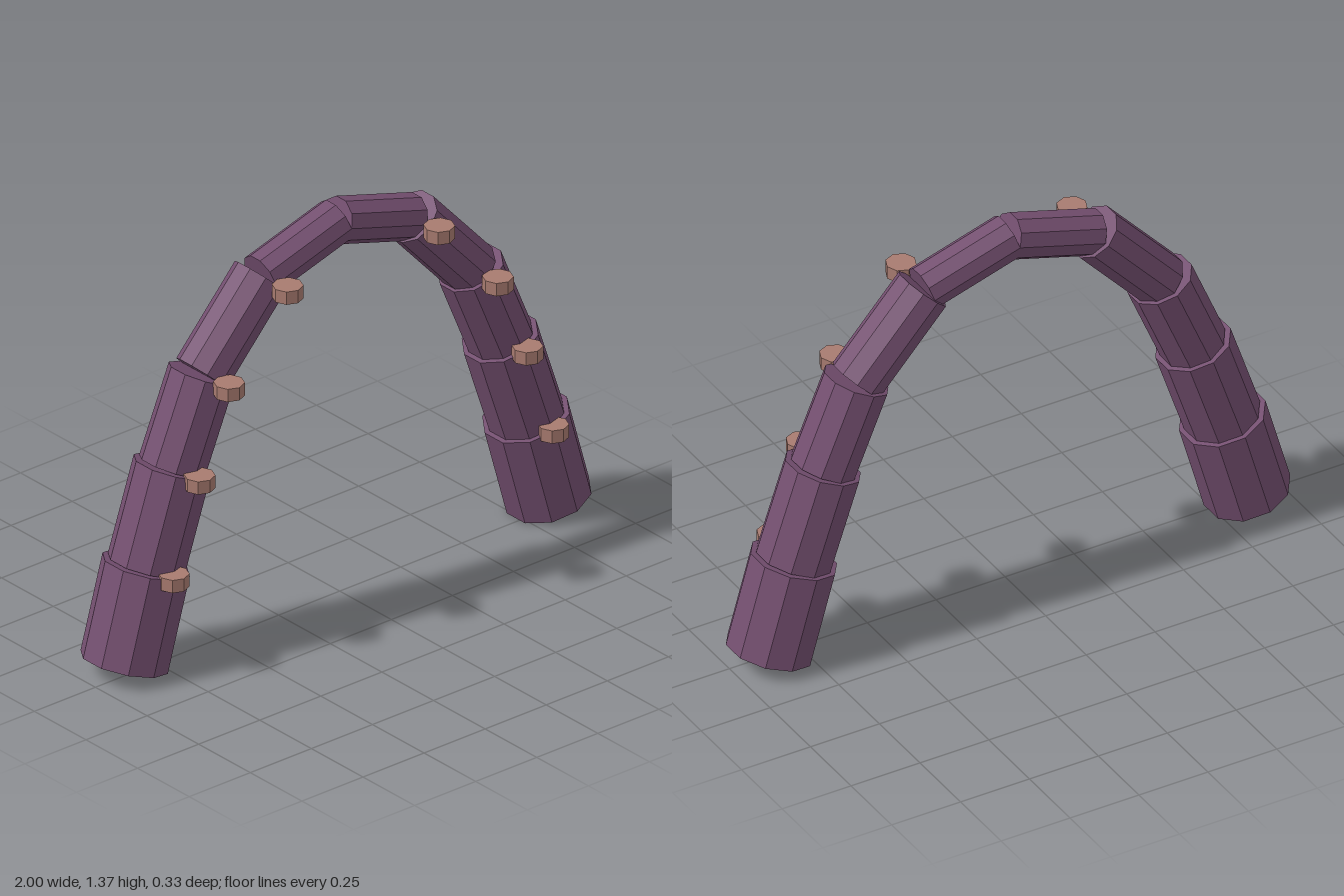
import * as THREE from 'three';

export function createModel() {
  const model = new THREE.Group();
  model.name = 'tentacleArch';

  const skin = new THREE.MeshStandardMaterial({ color: 0x744f70 });
  skin.name = 'purpleSkin';
  skin.flatShading = true;
  const sucker = new THREE.MeshStandardMaterial({ color: 0xa87b70 });
  sucker.name = 'pinkSucker';
  sucker.flatShading = true;

  const up = new THREE.Vector3(0, 1, 0);
  const bodyZ = -0.018;
  // Joints of one half of the arch, from the foot to the crown
  const joints = [[0.867, 0.039], [0.777, 0.353], [0.671, 0.665], [0.55, 0.951], [0.31, 1.213], [0, 1.305]];
  const suckerGeometry = new THREE.CylinderGeometry(0.05, 0.05, 0.045, 8);

  for (const side of [1, -1]) {
    const half = new THREE.Group();
    half.name = side > 0 ? 'leftHalf' : 'rightHalf';
    const points = joints.map(([x, y]) => new THREE.Vector3(side * x, y, bodyZ));

    // Straight ten-sided segments, thinner toward the crown
    for (let i = 0; i < points.length - 1; i++) {
      const axis = points[i + 1].clone().sub(points[i]);
      const radius = 0.143 - i * 0.0167;
      const segment = new THREE.Mesh(new THREE.CylinderGeometry(radius, radius, axis.length(), 10), skin);
      segment.name = `segment${i + 1}`;
      segment.position.copy(points[i]).addScaledVector(axis, 0.5);
      segment.quaternion.setFromUnitVectors(up, axis.normalize());
      half.add(segment);
    }

    // One upright sucker disc in front of each inner joint
    for (let i = 1; i < points.length - 1; i++) {
      const disc = new THREE.Mesh(suckerGeometry, sucker);
      disc.name = `sucker${i}`;
      disc.position.set(points[i].x, points[i].y, 0.115);
      half.add(disc);
    }
    model.add(half);
  }
  return model;
}
